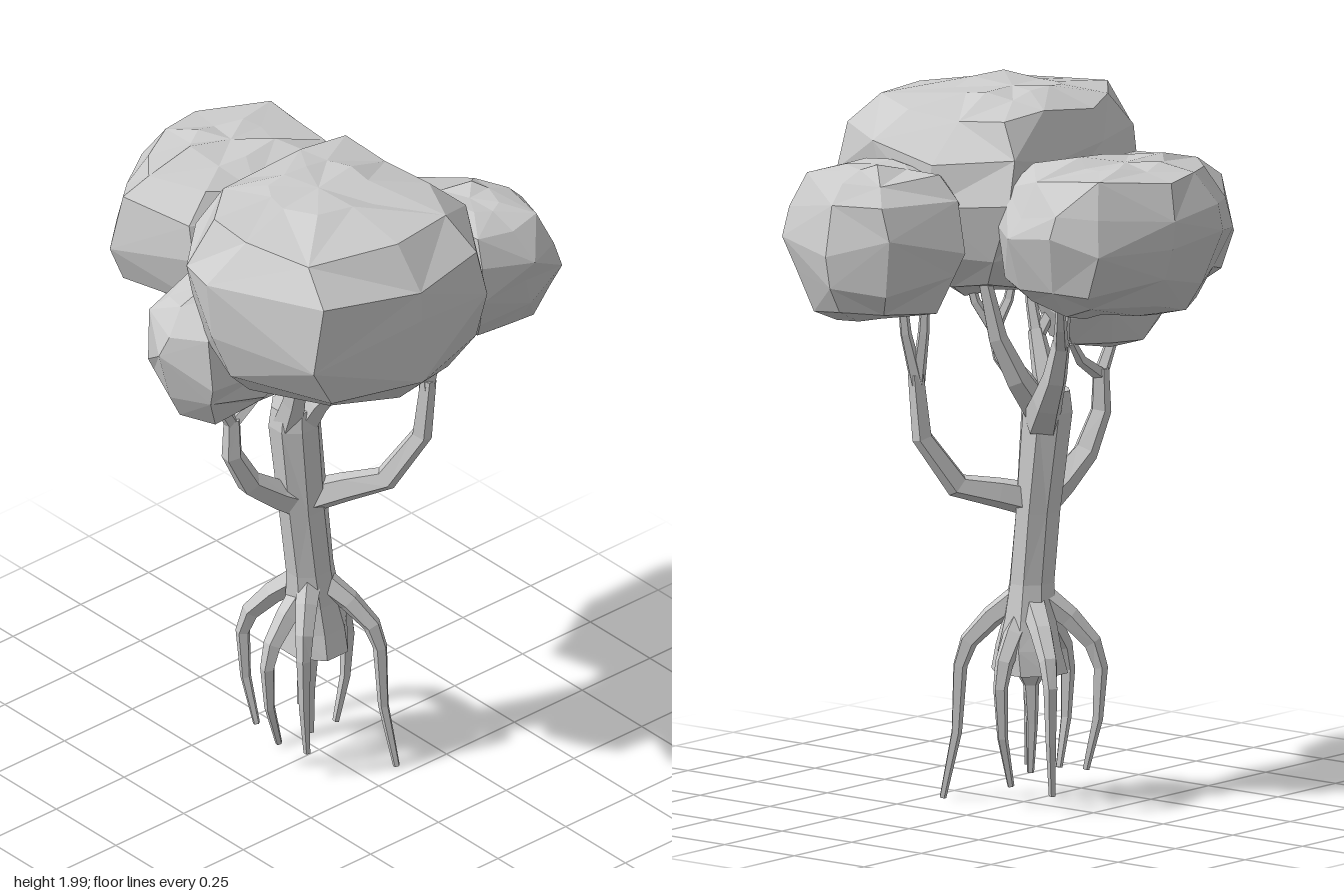
import * as THREE from 'three';

const material = new THREE.MeshStandardMaterial({ color: 0xcccccc, flatShading: true });
const vec = p => new THREE.Vector3(...p);

// Skins a list of equal-sized rings and closes both ends.
function loft(name, rings) {
  const n = rings[0].length, pos = [], index = [];
  rings.forEach(r => r.forEach(p => pos.push(p.x, p.y, p.z)));
  for (let i = 0; i < rings.length - 1; i++) {
    for (let j = 0; j < n; j++) {
      const a = i * n + j, b = i * n + (j + 1) % n;
      if ((i + j) % 2) index.push(a, b, b + n, a, b + n, a + n);
      else index.push(a, b, a + n, b, b + n, a + n);
    }
  }
  [0, rings.length - 1].forEach((ri, end) => {
    const c = rings[ri].reduce((s, p) => s.add(p), new THREE.Vector3()).divideScalar(n);
    const k = pos.length / 3;
    pos.push(c.x, c.y, c.z);
    for (let j = 0; j < n; j++) {
      const a = ri * n + j, b = ri * n + (j + 1) % n;
      if (end) index.push(k, a, b);
      else index.push(k, b, a);
    }
  });
  const g = new THREE.BufferGeometry();
  g.setAttribute('position', new THREE.Float32BufferAttribute(pos, 3));
  g.setIndex(index);
  g.computeVertexNormals();
  const mesh = new THREE.Mesh(g, material);
  mesh.name = name;
  return mesh;
}

// Five-sided limb through points, tapering from radius r0 to r1.
function limb(name, pts, r0, r1) {
  const last = pts.length - 1;
  let u = new THREE.Vector3(0.3, 0.1, 0.95);
  return loft(name, pts.map((p, i) => {
    const t = pts[Math.min(i + 1, last)].clone().sub(pts[Math.max(i - 1, 0)]).normalize();
    u = u.clone().addScaledVector(t, -u.dot(t)).normalize();
    const v = t.clone().cross(u), r = THREE.MathUtils.lerp(r0, r1, i / last);
    return Array.from({ length: 5 }, (_, j) => {
      const a = j / 5 * Math.PI * 2;
      return p.clone().addScaledVector(u, Math.cos(a) * r).addScaledVector(v, Math.sin(a) * r);
    });
  }));
}

// A bough with twigs that spread outward from its end, then turn up to each tip.
function branch(name, r0, r1, path, tips) {
  const g = new THREE.Group(), pts = path.map(vec), end = pts[pts.length - 1];
  g.name = name;
  g.add(limb('bough', pts, r0, r1));
  tips.map(vec).forEach(tip => {
    const start = end.clone().lerp(pts[pts.length - 2], 0.15);
    const mid = start.clone().lerp(tip, 0.5);
    mid.x += (tip.x - start.x) * 0.2;
    mid.z += (tip.z - start.z) * 0.2;
    g.add(limb('twig', [start, mid, tip], r1 * 0.9, 0.012));
  });
  return g;
}

// Prop root: leaves the trunk, arches over to the knee and drops to the foot.
function root(knee, foot) {
  const k = vec(knee), f = vec(foot);
  const onArch = (s, rise) => new THREE.Vector3(-0.03 + (k.x + 0.03) * s, k.y + rise, k.z * s);
  const shin = k.clone().lerp(f, 0.5);
  shin.x += (k.x - f.x) * 0.3;
  shin.z += (k.z - f.z) * 0.3;
  return limb('root', [onArch(0.15, 0.2), onArch(0.55, 0.14), onArch(0.88, 0.07), k, shin, f], 0.038, 0.01);
}

// Small seeded random in -0.5..0.5
function seeded(seed) {
  return () => {
    seed = (seed * 16807) % 2147483647;
    return seed / 2147483647 - 0.5;
  };
}

// Foliage profile from top to bottom: [height, plan scale]
const profile = [[1, 0.36], [0.87, 0.74], [0.5, 0.96], [0, 1], [-0.5, 0.92], [-0.85, 0.72], [-1, 0.4]];

// Rugged leaf clump: a plan outline [x, z] scaled by the profile, its top leaning towards [x, z].
function clump(name, top, bottom, lean, outline, seed) {
  const rnd = seeded(seed), n = outline.length;
  const cx = outline.reduce((s, p) => s + p[0], 0) / n;
  const cz = outline.reduce((s, p) => s + p[1], 0) / n;
  return loft(name, profile.map(([h, scale]) => {
    const y = (top + bottom) / 2 + h * (top - bottom) / 2;
    const dy = (1 - Math.abs(h)) * 0.06 + 0.03;
    return outline.map(([x, z]) => {
      const s = scale * (1 + rnd() * 0.13), turn = rnd() * 0.16;
      const dx = (x - cx) * s, dz = (z - cz) * s;
      return new THREE.Vector3(cx + dx - dz * turn + lean[0] * h, y + rnd() * dy, cz + dz + dx * turn + lean[1] * h);
    });
  }));
}

export function createModel() {
  const tree = new THREE.Group();
  tree.name = 'tree';

  // Trunk sections: [y, centre x, centre z, half width, half depth]
  const sections = [
    [0.37, -0.025, 0, 0.1, 0.115], [0.44, -0.02, 0, 0.095, 0.095], [0.52, -0.025, 0, 0.08, 0.075], [0.62, -0.035, 0, 0.072, 0.062],
    [0.82, -0.05, -0.01, 0.075, 0.06], [1.1, -0.07, -0.025, 0.077, 0.073], [1.16, -0.07, -0.025, 0.068, 0.066]];
  tree.add(loft('trunk', sections.map(([y, x, z, rx, rz]) => Array.from({ length: 8 }, (_, j) => {
    const a = (j + 0.5) / 8 * Math.PI * 2;
    return new THREE.Vector3(x + Math.sin(a) * rx, y, z + Math.cos(a) * rz);
  }))));

  // Branches
  tree.add(
    branch('rightSideBranch', 0.05, 0.024,
      [[-0.04, 0.85, 0], [0.04, 0.875, 0.06], [0.13, 0.9, 0.13], [0.21, 1.04, 0.19], [0.225, 1.22, 0.2]],
      [[0.27, 1.48, 0.22], [0.22, 1.48, 0.17]]),
    branch('leftSideBranch', 0.05, 0.024,
      [[-0.06, 0.84, -0.01], [-0.14, 0.89, -0.02], [-0.23, 0.96, -0.03], [-0.285, 1.07, -0.04], [-0.285, 1.19, -0.04]],
      [[-0.36, 1.36, -0.04], [-0.16, 1.28, -0.04]]),
    branch('backBranch', 0.055, 0.026,
      [[-0.03, 1.08, -0.04], [0.03, 1.15, -0.11], [0.07, 1.23, -0.17], [0.09, 1.34, -0.21]],
      [[0.18, 1.47, -0.28], [0.06, 1.48, -0.2]]),
    branch('frontBranch', 0.042, 0.02,
      [[-0.06, 1.1, 0], [-0.04, 1.18, 0.04], [-0.01, 1.25, 0.09], [-0.01, 1.33, 0.12]],
      [[0.04, 1.48, 0.17], [-0.08, 1.48, 0.1]]),
    branch('upperLeftBranch', 0.045, 0.024,
      [[-0.1, 1.1, -0.02], [-0.11, 1.2, 0.02], [-0.125, 1.31, 0.06]],
      [[-0.13, 1.48, 0.09], [-0.2, 1.46, 0.03]]),
    branch('upperRightBranch', 0.045, 0.02,
      [[-0.04, 1.1, -0.02], [0.03, 1.2, 0], [0.08, 1.32, 0.03], [0.11, 1.48, 0.05]], []));

  // Prop roots and the central tap root
  const roots = new THREE.Group();
  roots.name = 'propRoots';
  roots.add(
    root([0.085, 0.38, 0.16], [0.105, 0.005, 0.205]),
    root([0.1, 0.36, -0.18], [0.07, 0.05, -0.16]),
    root([0.115, 0.34, -0.01], [0.075, 0.06, -0.015]),
    root([-0.14, 0.4, 0.095], [-0.115, 0.08, 0.08]),
    root([-0.145, 0.38, -0.155], [-0.13, 0.09, -0.115]),
    root([-0.19, 0.35, 0], [-0.14, 0.08, -0.01]),
    limb('tapRootCone', [vec([-0.03, 0.385, 0]), vec([-0.03, 0.33, 0])], 0.06, 0.024),
    limb('tapRoot', [vec([-0.03, 0.34, 0]), vec([-0.035, 0.22, 0]), vec([-0.035, 0.08, 0.005])], 0.024, 0.01));
  tree.add(roots);

  // Leaf clumps
  tree.add(
    clump('mainFoliage', 1.985, 1.425, [-0.01, -0.02],
      [[-0.55, 0.21], [-0.52, 0.05], [-0.4, -0.1], [-0.22, -0.12], [0, -0.11], [0.2, -0.09],
        [0.26, 0.11], [0.24, 0.33], [0.09, 0.59], [-0.13, 0.6], [-0.46, 0.53]], 11),
    clump('backFoliage', 1.85, 1.425, [0, -0.02],
      [[-0.39, -0.4], [-0.29, -0.5], [-0.15, -0.57], [0.06, -0.6], [0.26, -0.46],
        [0.3, -0.33], [0.28, -0.17], [0.17, -0.06], [-0.12, -0.05], [-0.33, -0.14]], 29),
    clump('rightFoliage', 1.815, 1.395, [-0.025, 0.02],
      [[0.18, 0.07], [0.28, 0], [0.47, 0.11], [0.54, 0.25],
        [0.48, 0.46], [0.36, 0.49], [0.2, 0.45], [0.16, 0.24]], 47),
    clump('leftFoliage', 1.66, 1.265, [0, 0],
      [[-0.54, -0.03], [-0.5, -0.15], [-0.35, -0.19], [-0.19, -0.17],
        [-0.09, -0.05], [-0.12, 0.1], [-0.3, 0.13], [-0.5, 0.1]], 83));

  return tree;
}
